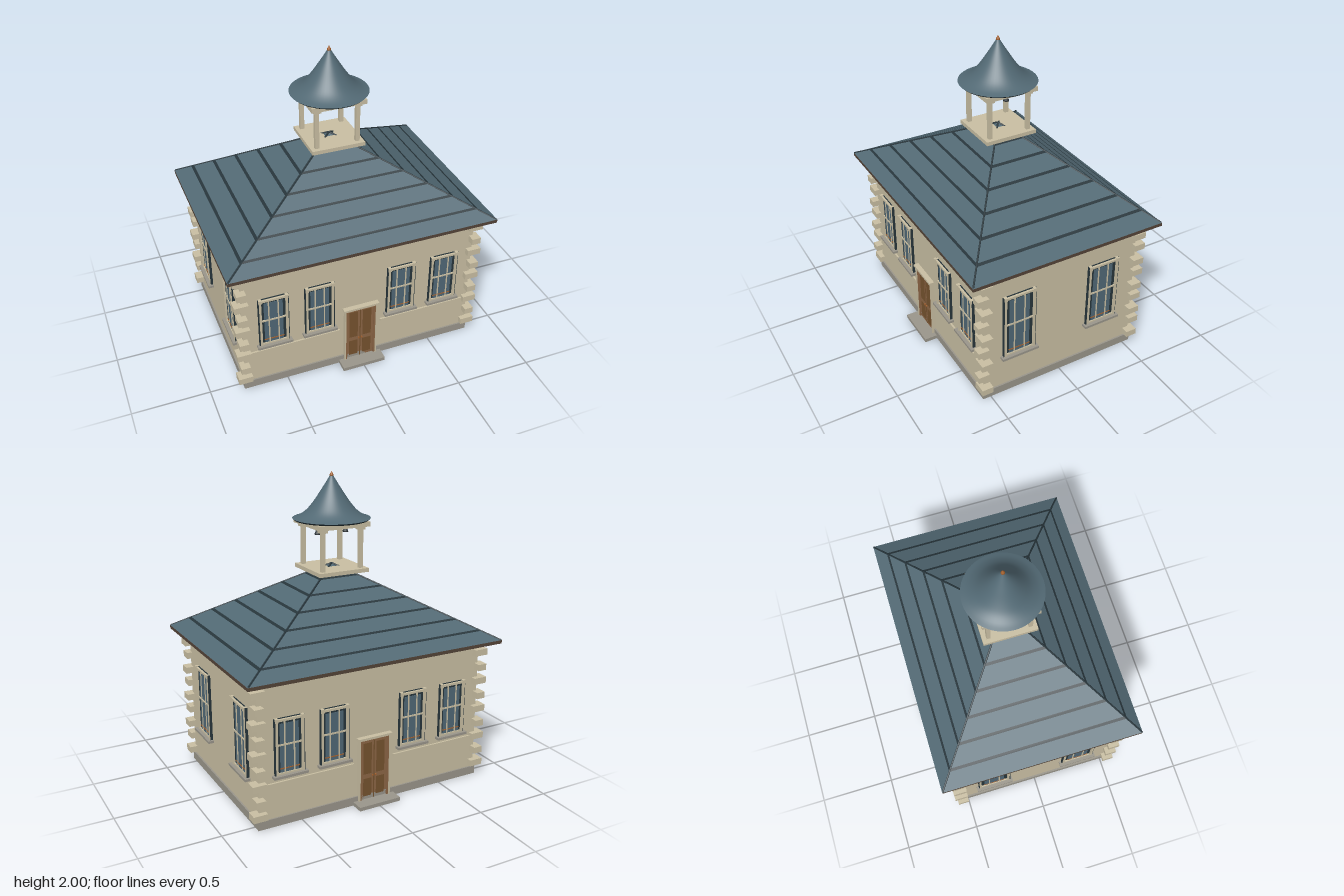
import * as THREE from 'three';

const mat = (name, color) => {
  const m = new THREE.MeshStandardMaterial({ color });
  m.name = name;
  return m;
};

export function createModel() {
  const cream = mat('cream stone', 0xc9bfa3);
  const slate = mat('blue slate', 0x526974);
  const dark = mat('dark slate', 0x27353b);
  const glass = mat('window glass', 0x506876);
  const grey = mat('grey stone', 0x9a968b);
  const brown = mat('door wood', 0x8d6646);
  const panelBrown = mat('door panel wood', 0x76532f);
  const eave = mat('eave brown', 0x544438);
  const iron = mat('bell iron', 0x343c42);
  const copper = mat('copper', 0xa5622f);

  const model = new THREE.Group();
  model.name = 'bellHouse';

  const add = (parent, name, geo, material, x = 0, y = 0, z = 0) => {
    const m = new THREE.Mesh(geo, material);
    m.name = name;
    m.position.set(x, y, z);
    parent.add(m);
    return m;
  };
  // Box given by centre x, y range and z range
  const slab = (parent, name, material, x, w, y0, y1, z0, z1) =>
    add(parent, name, new THREE.BoxGeometry(w, y1 - y0, z1 - z0), material, x, (y0 + y1) / 2, (z0 + z1) / 2);
  const group = (parent, name) => {
    const g = new THREE.Group();
    g.name = name;
    parent.add(g);
    return g;
  };

  const WX = 0.777, WZ = 0.543;

  // Walls, plinth and cornice
  slab(model, 'walls', cream, 0, WX * 2, 0.05, 0.94, -WZ, WZ);
  slab(model, 'plinth', grey, 0, 1.576, 0, 0.055, -0.553, 0.553);
  slab(model, 'cornice', cream, 0, 1.576, 0.918, 0.936, -0.553, 0.553);

  // Alternating corner stones
  const quoins = group(model, 'quoins');
  for (const sx of [-1, 1]) for (const sz of [-1, 1]) for (let i = 0; i < 9; i++) {
    const [x0, x1, z0, z1] = i % 2 ? [0.75, 0.81, 0.518, 0.592] : [0.735, 0.826, 0.502, 0.577];
    add(quoins, 'quoin', new THREE.BoxGeometry(x1 - x0, 0.042, z1 - z0), cream,
      sx * (x0 + x1) / 2, 0.09 + i * 0.0966, sz * (z0 + z1) / 2);
  }

  // Sash window; local z = 0 is the wall surface
  function addWindow(parent, x, w, y0, y1) {
    const g = group(parent, 'window');
    g.position.x = x;
    const cy = (y0 + y1) / 2 + 0.01;
    const f = 0.014, side = w / 2 - 0.006 - f / 2;
    slab(g, 'surround', dark, 0, w, y0, y1, -0.01, 0.006);
    for (const s of [-1, 1]) {
      slab(g, 'surroundEdge', dark, s * (w / 2 - 0.004), 0.008, y0, y1, 0, 0.016);
      slab(g, 'jamb', cream, s * side, f, y0, y1 - 0.006, 0, 0.02);
      slab(g, 'cornerBlock', cream, s * side, 0.02, y1 - 0.022, y1 + 0.002, 0, 0.024);
      slab(g, 'mullion', cream, s * w * 0.155, 0.008, y0 + 0.012, y1 - 0.02, 0, 0.013);
    }
    slab(g, 'head', cream, 0, w - 0.012, y1 - 0.018, y1 - 0.004, 0, 0.02);
    slab(g, 'glass', glass, 0, w * 0.62, y0 + 0.008, y1 - 0.036, 0, 0.009);
    slab(g, 'transom', cream, 0, w - 0.03, cy - 0.005, cy + 0.005, 0, 0.014);
    slab(g, 'brassRail', copper, 0, w * 0.65, y0 + 0.034, y0 + 0.04, 0, 0.012);
    slab(g, 'bottomRail', cream, 0, w - 0.02, y0, y0 + 0.012, 0, 0.015);
    slab(g, 'sill', grey, 0, w + 0.03, y0 - 0.016, y0, -0.01, 0.036);
  }

  // Double door with panels and step
  function addDoor(parent) {
    const g = group(parent, 'door');
    slab(g, 'leaves', brown, 0, 0.2, 0.025, 0.43, -0.01, 0.01);
    slab(g, 'lintel', cream, 0, 0.24, 0.434, 0.449, -0.01, 0.034);
    slab(g, 'doorHead', brown, 0, 0.205, 0.42, 0.434, 0, 0.02);
    slab(g, 'meetingStile', panelBrown, 0, 0.006, 0.025, 0.42, 0, 0.013);
    for (const s of [-1, 1]) {
      slab(g, 'doorJamb', cream, s * 0.107, 0.009, 0.02, 0.434, -0.01, 0.026);
      slab(g, 'doorFrame', brown, s * 0.097, 0.011, 0.02, 0.434, 0, 0.02);
      slab(g, 'upperPanel', panelBrown, s * 0.046, 0.058, 0.195, 0.405, 0, 0.012);
      slab(g, 'lowerPanel', panelBrown, s * 0.046, 0.058, 0.045, 0.165, 0, 0.012);
      slab(g, 'doorKnob', copper, s * 0.01, 0.008, 0.177, 0.185, 0, 0.02);
    }
    slab(g, 'step', grey, 0, 0.29, 0, 0.024, -0.02, 0.095);
  }

  // Matching front and back, matching left and right
  for (const turn of [0, Math.PI]) {
    const face = group(model, turn ? 'backFacade' : 'frontFacade');
    face.rotation.y = turn;
    const front = group(face, 'frontDetails');
    front.position.z = WZ;
    for (const x of [-0.577, -0.277, 0.277, 0.577]) addWindow(front, x, 0.196, 0.333, 0.69);
    addDoor(front);
    for (const s of [-1, 1]) slab(front, 'stringCourse', cream, s * 0.438, 0.594, 0.27, 0.286, -0.01, 0.012);

    const end = group(model, turn ? 'rightFacade' : 'leftFacade');
    end.rotation.y = turn + Math.PI / 2;
    const details = group(end, 'endDetails');
    details.position.z = WX;
    for (const x of [-0.3, 0.3]) addWindow(details, x, 0.225, 0.285, 0.732);
  }

  // Pyramid roof; half width shrinks evenly to the apex
  const RX = 0.873, RZ = 0.655, Y0 = 0.955, Y1 = 1.42;
  const roof = group(model, 'roof');
  const frustum = (name, material, y0, y1, proud = 0) => {
    const k = y => Math.SQRT2 * (Y1 - y) / (Y1 - Y0);
    const geo = new THREE.CylinderGeometry(k(y1), k(y0), y1 - y0, 4, 1, y1 < Y1).rotateY(Math.PI / 4)
      .scale(RX, 1, RZ).toNonIndexed();
    geo.computeVertexNormals();
    return add(roof, name, geo, material, 0, (y0 + y1) / 2 + proud, 0);
  };
  slab(roof, 'eaveBoard', eave, 0, RX * 2, 0.933, Y0, -RZ, RZ);
  frustum('roofSlopes', slate, Y0, Y1 - 0.001);
  for (let i = 0; i < 6; i++) {
    const y = 1.015 + i * 0.067;
    frustum('courseLine', dark, y - 0.006, y + 0.003, 0.003);
  }
  for (const sx of [-1, 1]) for (const sz of [-1, 1]) {
    const hip = new THREE.LineCurve3(new THREE.Vector3(sx * RX * 0.995, Y0, sz * RZ * 0.995), new THREE.Vector3(0, Y1, 0));
    add(roof, 'hipRidge', new THREE.TubeGeometry(hip, 1, 0.006, 6), dark);
  }

  // Open belfry
  const belfry = group(model, 'belfry');
  slab(belfry, 'belfryFloor', cream, 0, 0.346, 1.378, 1.403, -0.173, 0.173);
  slab(belfry, 'belfryBeam', cream, 0, 0.354, 1.667, 1.697, -0.177, 0.177);
  for (const sx of [-1, 1]) for (const sz of [-1, 1]) {
    const x = sx * 0.133, z = sz * 0.133;
    slab(belfry, 'post', cream, x, 0.026, 1.4, 1.67, z - 0.013, z + 0.013);
    slab(belfry, 'capital', cream, x, 0.046, 1.646, 1.668, z - 0.023, z + 0.023);
  }

  // Two hanging bells
  const lathe = (pts, n) => new THREE.LatheGeometry(pts.map(p => new THREE.Vector2(...p)), n);
  for (const s of [-1, 1]) {
    add(belfry, 'bell', lathe([[0, 0], [0.019, 0], [0.017, 0.008], [0.011, 0.02], [0.009, 0.034], [0, 0.04]], 16),
      iron, s * 0.1, 1.612, 0);
    slab(belfry, 'bellHanger', iron, s * 0.1, 0.012, 1.645, 1.67, -0.016, 0.016);
  }

  // Flared bell-shaped cap and finial
  const flare = new THREE.SplineCurve([[0.246, 1.71], [0.205, 1.725], [0.16, 1.757], [0.115, 1.81],
    [0.068, 1.88], [0.03, 1.94], [0.006, 1.98]].map(p => new THREE.Vector2(...p)));
  add(belfry, 'capRoof', new THREE.LatheGeometry(flare.getPoints(24), 48), slate);
  add(belfry, 'capUnderside', lathe([[0, 1.697], [0.235, 1.7], [0.246, 1.71]], 48), dark);
  add(belfry, 'finial', lathe([[0.006, 1.96], [0.013, 1.972], [0.011, 1.98], [0.005, 1.99], [0, 2]], 12), copper);

  return model;
}
